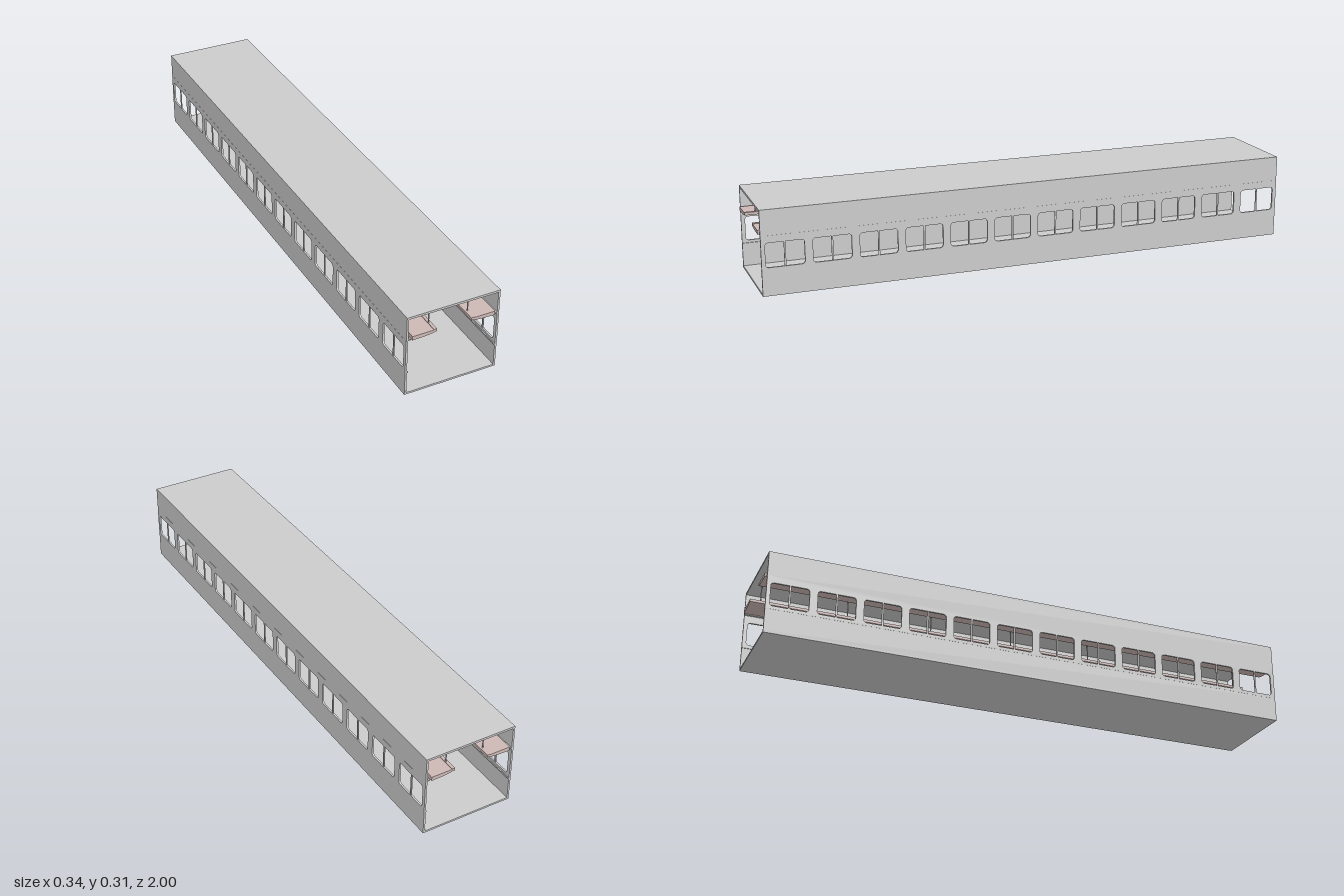
import * as THREE from 'three';

const L = 1.99, WINDOWS = 12, PITCH = L / WINDOWS;
const grey = new THREE.MeshStandardMaterial({ color: 0xcccccc });
const rackMat = new THREE.MeshStandardMaterial({ color: 0xccb8b5 });

function box(name, w, h, d, x, y, z = 0) {
  const m = new THREE.Mesh(new THREE.BoxGeometry(w, h, d), grey);
  m.name = name;
  m.position.set(x, y, z);
  return m;
}

// Rounded rectangle path centred on (cx, cy)
function roundedHole(cx, cy, w, h, r) {
  const p = new THREE.Path(), a = w / 2 - r, b = h / 2 - r;
  p.absarc(cx + a, cy + b, r, 0, Math.PI / 2);
  p.absarc(cx - a, cy + b, r, Math.PI / 2, Math.PI);
  p.absarc(cx - a, cy - b, r, Math.PI, Math.PI * 1.5);
  p.absarc(cx + a, cy - b, r, Math.PI * 1.5, Math.PI * 2);
  p.closePath();
  return p;
}

// Window band: a long strip with twelve rounded openings, turned to run along z
function windowBand() {
  const s = new THREE.Shape();
  s.moveTo(-L / 2, 0.09);
  s.lineTo(L / 2, 0.09);
  s.lineTo(L / 2, 0.216);
  s.lineTo(-L / 2, 0.216);
  s.closePath();
  for (let i = 0; i < WINDOWS; i++) {
    s.holes.push(roundedHole(-L / 2 + PITCH * (i + 0.5), 0.146, 0.137, 0.088, 0.011));
  }
  const g = new THREE.ExtrudeGeometry(s, { depth: 0.007, bevelEnabled: false, curveSegments: 4 });
  g.rotateY(Math.PI / 2);
  const m = new THREE.Mesh(g, grey);
  m.name = 'windowBand';
  return m;
}

// Luggage rack: sloped underside and a raised lip on the aisle edge
function luggageRack(side) {
  const pts = [[0.152, 0.218], [0.152, 0.233], [0.074, 0.233], [0.074, 0.235], [0.063, 0.235],
    [0.063, 0.225], [0.071, 0.225], [0.074, 0.223], [0.098, 0.220]];
  const s = new THREE.Shape(pts.map(([x, y]) => new THREE.Vector2(x * side, y)));
  const g = new THREE.ExtrudeGeometry(s, { depth: 2, bevelEnabled: false });
  g.translate(0, 0, -1);
  const m = new THREE.Mesh(g, rackMat);
  m.name = 'luggageRack';
  return m;
}

export function createModel() {
  const model = new THREE.Group();
  model.name = 'carriage';

  model.add(box('floor', 0.342, 0.007, L, 0, 0.0035));
  model.add(box('roof', 0.342, 0.008, L, 0, 0.304));

  for (const side of [-1, 1]) {
    const wall = new THREE.Group();
    wall.name = side > 0 ? 'leftSide' : 'rightSide';
    wall.add(box('lowerWall', 0.007, 0.083, L, side * 0.1675, 0.0485));
    wall.add(box('upperWall', 0.007, 0.084, L, side * 0.1675, 0.258));

    const band = windowBand();
    band.position.x = side > 0 ? 0.1645 : -0.1715;
    wall.add(band);

    // Inner ledges above and below the windows
    wall.add(box('upperLedge', 0.01, 0.004, L, side * 0.16, 0.219));
    wall.add(box('windowSill', 0.004, 0.005, L, side * 0.163, 0.09));

    // Centre bar of each window
    for (let i = 0; i < WINDOWS; i++) {
      const z = -L / 2 + PITCH * (i + 0.5);
      wall.add(box('windowBar', 0.004, 0.09, 0.006, side * 0.168, 0.146, z));
    }

    // Rack with the rods that hang it from the roof
    wall.add(luggageRack(side));
    for (let i = 0; i <= 6; i++) {
      const rod = new THREE.Mesh(new THREE.CylinderGeometry(0.0022, 0.0022, 0.067, 8), grey);
      rod.name = 'rackRod';
      rod.position.set(side * 0.072, 0.2675, -0.96 + i * 0.32);
      wall.add(rod);
    }
    model.add(wall);
  }
  return model;
}
